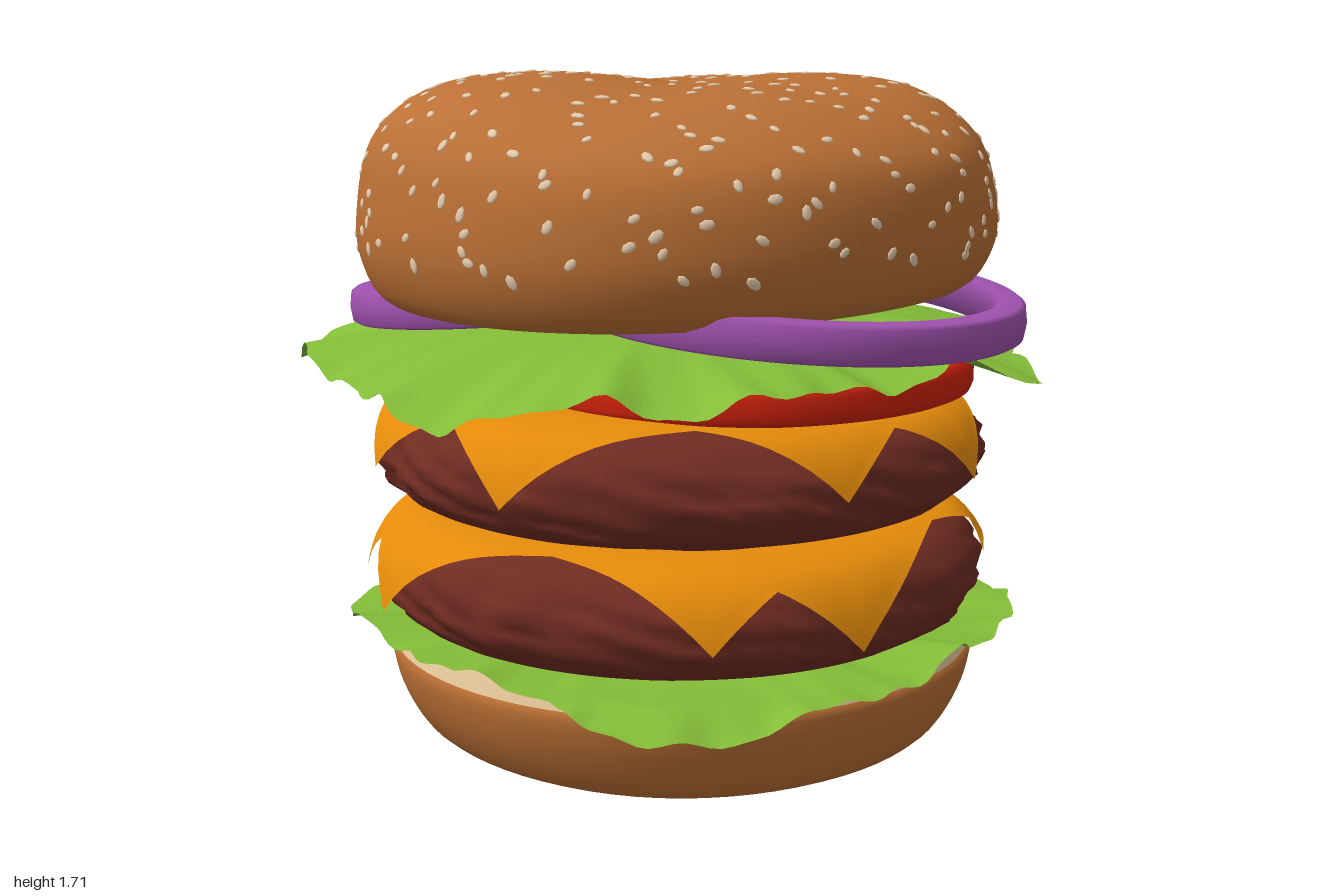
import * as THREE from 'three';
import { mergeGeometries, mergeVertices } from 'three/addons/utils/BufferGeometryUtils.js';

const RAD = Math.PI / 180;
const { clamp, smoothstep } = THREE.MathUtils;
const mat = (name, color, side = THREE.FrontSide) => {
  const m = new THREE.MeshStandardMaterial({ color, side });
  m.name = name;
  return m;
};

// Smooth normals across the seam
function smooth(geo) {
  geo.deleteAttribute('uv');
  geo.deleteAttribute('normal');
  geo = mergeVertices(geo, 1e-5);
  geo.computeVertexNormals();
  return geo;
}

// Move every vertex by a rule
function warp(geo, rule) {
  const p = geo.attributes.position, v = new THREE.Vector3();
  for (let i = 0; i < p.count; i++) {
    rule(v.fromBufferAttribute(p, i));
    p.setXYZ(i, v.x, v.y, v.z);
  }
  return geo;
}

const curveOf = pts => new THREE.CatmullRomCurve3(pts.map(([r, y]) => new THREE.Vector3(r, y, 0)), false, 'centripetal');

// Turned solid with a rounded profile, running from bottom to top
function turned(pts, steps, segs, rule) {
  const prof = curveOf(pts).getSpacedPoints(steps).map(p => new THREE.Vector2(Math.max(0, p.x), p.y));
  return smooth(warp(new THREE.LatheGeometry(prof, segs), rule));
}

// Cut slice, straight between the given profile points
const slice = pts => smooth(new THREE.LatheGeometry(pts.map(([r, y]) => new THREE.Vector2(r, y)), 80));

// Round sheet: at(t, angle) gives a point, t from centre (0) to rim (1)
function sheet(rings, segs, at) {
  const pos = [], idx = [];
  for (let i = 0; i <= rings; i++) for (let j = 0; j < segs; j++) {
    pos.push(...at(i / rings, j / segs * Math.PI * 2));
    if (i === rings) continue;
    const a = i * segs + j, b = i * segs + (j + 1) % segs;
    idx.push(a, a + segs, b, b, a + segs, b + segs);
  }
  const g = new THREE.BufferGeometry();
  g.setAttribute('position', new THREE.Float32BufferAttribute(pos, 3));
  g.setIndex(idx);
  g.computeVertexNormals();
  return g;
}

// Smooth lookup in a ring of [degrees, radius, height]
function rimAt(table, angle) {
  const d = ((angle / RAD) % 360 + 360) % 360;
  let i = table.length - 1;
  while (i > 0 && table[i][0] > d) i--;
  const a = table[i], b = table[(i + 1) % table.length];
  let f = (d - a[0]) / ((b[0] || 360) - a[0]);
  f = f * f * (3 - 2 * f);
  return [a[1] + (b[1] - a[1]) * f, a[2] + (b[2] - a[2]) * f];
}

// Ruffled leaf; floor keeps the inner part above what it lies on
function lettuce(table, mid, ruffle, phase, floor) {
  return sheet(18, 200, (t, a) => {
    const [R, rim] = rimAt(table, a);
    const wave = Math.sin(a * 11 + phase + t * 3) + 0.6 * Math.sin(a * 19 + phase * 2 - t * 4) + 0.35 * Math.sin(a * 37 - t * 5);
    const r = t * R * (1 + 0.008 * t * Math.sin(a * 29 + phase));
    const y = mid + (rim - mid) * t ** 3 + ruffle * wave * t ** 4;
    return [r * Math.sin(a), r < 0.8 ? Math.max(y, floor) : y, r * Math.cos(a)];
  });
}

// Lumpy surface noise, drawn out sideways
const lumps = (x, y, z) =>
  Math.sin(x * 12 + y * 38 + 2 * Math.sin(z * 9)) * Math.sin(z * 13 - y * 47 + 1.5 * Math.sin(x * 11)) +
  0.6 * Math.sin(x * 29 - y * 83 + 2 * Math.sin(z * 17)) * Math.sin(z * 31 + y * 71);

// Top bun: uneven dome, drooping at the front, lower on two opposite shoulders
const BUN = [[0, 1.19], [0.6, 1.19], [0.75, 1.175], [0.81, 1.27], [0.815, 1.38], [0.77, 1.54], [0.63, 1.65], [0.4, 1.695], [0, 1.685]];
function bunRule(v) {
  const a = Math.atan2(v.x, v.z), r = Math.hypot(v.x, v.z);
  const low = clamp((1.42 - v.y) / 0.24, 0, 1), high = clamp((v.y - 1.4) / 0.25, 0, 1);
  const k = 1 + 0.01 * Math.sin(3 * a + 1) + 0.006 * Math.sin(5 * a);
  v.y -= low * 0.04 * Math.cos(a + 0.4) * r;
  v.y -= high * r * (0.015 + 0.04 * Math.cos(2 * a - 1.5) + 0.02 * Math.sin(a) + 0.012 * Math.sin(5 * a));
  v.x = v.x * k - 0.02;
  v.z = v.z * k - 0.025;
}

// Flat sesame seeds spread in a spiral over the dome
function seedGeometry() {
  let s = 7;
  const rnd = () => (s = s * 16807 % 2147483647) / 2147483647;
  const curve = curveOf(BUN), N = 340, parts = [], up = new THREE.Vector3(0, 1, 0);
  const point = (u, a) => {
    const p = curve.getPointAt(Math.min(u, 1));
    const v = new THREE.Vector3(p.x * Math.sin(a), p.y, p.x * Math.cos(a));
    bunRule(v);
    return v;
  };
  for (let i = 0; i < N; i++) {
    const u = 0.985 - 0.54 * Math.sqrt((i + rnd()) / N), a = (i * 2.39996 + rnd() * 0.4) % (Math.PI * 2);
    const p = point(u, a);
    const n = point(u, a + 0.02).sub(p).cross(point(u + 0.01, a).sub(p)).normalize();
    const q = new THREE.Quaternion().setFromUnitVectors(up, n)
      .multiply(new THREE.Quaternion().setFromAxisAngle(up, rnd() * 6.28));
    const k = 0.85 + rnd() * 0.35;
    parts.push(new THREE.SphereGeometry(1, 7, 4).applyMatrix4(
      new THREE.Matrix4().compose(p, q, new THREE.Vector3(0.011 * k, 0.0045, 0.017 * k))));
  }
  return mergeGeometries(parts);
}

export function createModel() {
  const model = new THREE.Group();
  model.name = 'burger';
  const bun = mat('bun brown', 0xbb7035), crumb = mat('crumb cream', 0xe2c498), seed = mat('seed cream', 0xecd0b0);
  const meat = mat('patty brown', 0x702c22), cheese = mat('cheese orange', 0xe58b0a, THREE.DoubleSide);
  const leaf = mat('lettuce green', 0x84bc38, THREE.DoubleSide), red = mat('tomato red', 0xd0220c), purple = mat('onion purple', 0xa052ae);
  const add = (name, geo, material, x = 0, y = 0, z = 0, tilt = 0) => {
    const m = new THREE.Mesh(geo, material);
    m.name = name;
    m.position.set(x, y, z);
    m.rotation.z = tilt;
    model.add(m);
  };

  // Bottom bun with its cut face
  add('bottomBun', turned([[0, 0.015], [0.5, 0.012], [0.62, 0.01], [0.69, 0.04], [0.745, 0.13], [0.77, 0.22], [0.77, 0.255], [0.7, 0.262], [0, 0.262]], 60, 72,
    v => { v.y = Math.max(0, v.y - 0.004 * Math.sin(v.x * 5) * (v.y < 0.1 ? 1 : 0)); }), bun, -0.01, 0, -0.04);
  add('bunCutFace', new THREE.CylinderGeometry(0.755, 0.768, 0.03, 72), crumb, -0.01, 0.27, -0.04);

  // Lower lettuce
  add('lowerLettuce', lettuce([[0, 0.77, 0.3], [25, 0.89, 0.24], [42, 0.86, 0.26], [60, 0.82, 0.29], [90, 0.81, 0.31], [120, 0.88, 0.31],
    [148, 0.93, 0.26], [165, 0.9, 0.28], [185, 0.82, 0.31], [215, 0.84, 0.31], [240, 0.81, 0.31], [275, 0.81, 0.31], [302, 0.88, 0.31], [330, 0.79, 0.31]],
    0.315, 0.014, 1, 0.292), leaf, 0, 0, -0.02);

  // Two patties, each under two crossed cheese slices given as [turn, half side]
  [[0.3, [[35, 0.655], [60, 0.675]], 0], [0.615, [[0, 0.655], [57, 0.645]], 4]].forEach(([y0, slices, phase], k) => {
    add(k ? 'upperPatty' : 'lowerPatty', turned([[0, 0.01], [0.55, 0.01], [0.7, 0.03], [0.77, 0.09], [0.785, 0.16], [0.75, 0.24], [0.66, 0.285], [0.5, 0.295], [0, 0.295]], 70, 140, v => {
      const r = Math.hypot(v.x, v.z);
      const n = lumps(v.x + phase, v.y, v.z) * smoothstep(r, 0.4, 0.75) * (1 - 0.75 * smoothstep(v.y, 0.15, 0.26));
      v.x *= 1 + 0.022 * n;
      v.z *= 1 + 0.022 * n;
      v.y += 0.006 * n;
    }), meat, -0.01, y0, -0.03);
    const drape = curveOf([[0, 0.305], [0.4, 0.305], [0.66, 0.303], [0.745, 0.278], [0.8, 0.215], [0.828, 0.12], [0.84, 0.0]]);
    const length = drape.getLength();
    slices.forEach(([turn, half], j) => add('cheeseSlice', sheet(26, 120, (t, a) => {
      const b = a - Math.PI / 4;
      const reach = t * half / Math.max(Math.abs(Math.cos(b)), Math.abs(Math.sin(b)));
      const p = drape.getPointAt(Math.min(1, reach / length));
      const w = a + turn * RAD, r = p.x + j * 0.012 * t;
      return [r * Math.sin(w), p.y + j * 0.01, r * Math.cos(w)];
    }), cheese, -0.01, y0, -0.03));
  });

  // Overlapping tomato slices
  const tomato = slice([[0, -0.048], [0.52, -0.048], [0.555, -0.047], [0.572, -0.04], [0.58, -0.02], [0.58, 0.02], [0.572, 0.04], [0.555, 0.047], [0.52, 0.048], [0, 0.048]]);
  add('leftTomato', tomato, red, 0.19, 0.965, -0.015, 0.015);
  add('rightTomato', tomato, red, -0.27, 0.948, -0.02, 0.06);

  // Wide upper lettuce
  add('upperLettuce', lettuce([[0, 0.92, 0.97], [8, 0.93, 0.99], [20, 0.87, 1.02], [41, 0.92, 1.02], [55, 0.85, 1.04], [75, 0.87, 1.04], [88, 1, 1.02],
    [102, 0.87, 1.04], [122, 0.87, 1.03], [134, 0.94, 1.02], [146, 0.91, 1.0], [153, 1, 0.99], [168, 0.95, 0.98], [180, 0.87, 1.02],
    [201, 0.83, 1.04], [220, 0.86, 1.03], [240, 0.81, 1.04], [253, 0.91, 1.02], [267, 1, 1.01], [279, 0.95, 1.0], [290, 1, 1.0],
    [300, 0.98, 0.99], [308, 0.94, 0.99], [325, 0.87, 0.98], [347, 0.92, 0.95]], 1.1, 0.022, 2.5, 1.0), leaf);

  // Onion rings leaning on each other in the middle
  const ring = slice([[0.505, -0.046], [0.57, -0.046], [0.583, -0.038], [0.587, 0], [0.58, 0.038], [0.568, 0.046], [0.515, 0.046], [0.505, 0.036], [0.505, -0.046]]);
  add('leftOnionRing', ring, purple, 0.335, 1.16, 0.03, -0.08);
  add('rightOnionRing', ring, purple, -0.325, 1.148, 0, 0.1);

  // Top bun and seeds
  add('topBun', turned(BUN, 76, 100, bunRule), bun);
  add('sesameSeeds', seedGeometry(), seed);
  return model;
}
